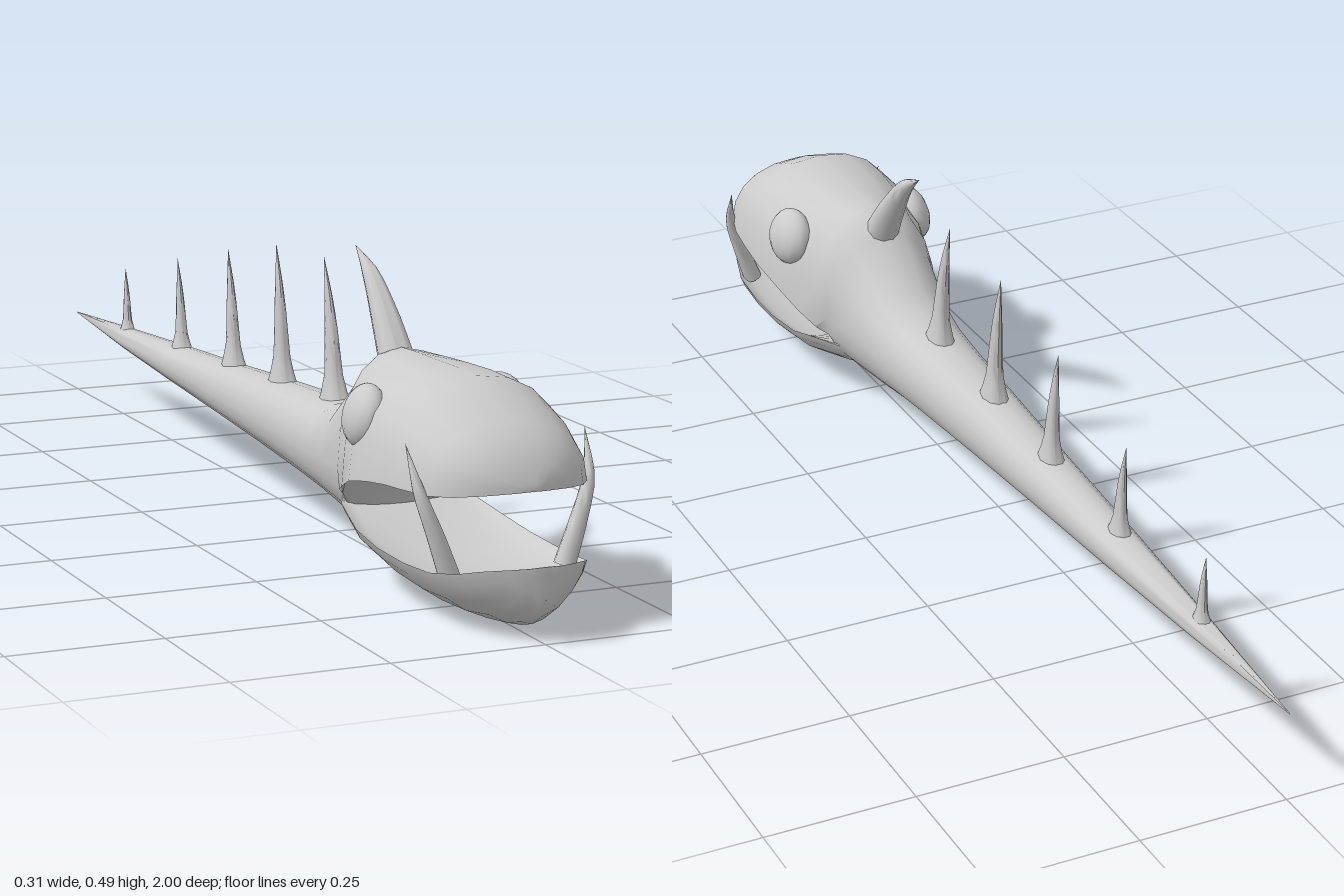
import * as THREE from 'three';
import { toCreasedNormals } from 'three/addons/utils/BufferGeometryUtils.js';

const material = new THREE.MeshStandardMaterial({ color: 0xcccccc, side: THREE.DoubleSide });

function addMesh(group, name, geometry) {
  const mesh = new THREE.Mesh(geometry, material);
  mesh.name = name;
  group.add(mesh);
  return mesh;
}

// Joins rings of points (arrays of Vector3) into a closed skin
function skin(rings, crease) {
  const n = rings[0].length;
  const index = [];
  for (let i = 0; i < rings.length - 1; i++) {
    for (let j = 0; j < n; j++) {
      const a = i * n + j, b = i * n + (j + 1) % n;
      index.push(a, b, a + n, b, b + n, a + n);
    }
  }
  const geometry = new THREE.BufferGeometry().setFromPoints(rings.flat());
  geometry.setIndex(index);
  return toCreasedNormals(geometry, crease);
}

// Sections: [z, top y, y of the widest line, bottom y, half width].
// A bottom above the widest line arches a palate; a top below it hollows a jaw floor.
function loft(sections, upperPower, lowerPower, sides = 20) {
  const rings = sections.map(([z, top, mid, bottom, w]) => {
    const ring = [];
    for (let j = 0; j < sides; j++) {
      const a = (j / sides) * Math.PI * 2;
      const c = Math.cos(a), s = Math.sin(a);
      const p = s >= 0 ? upperPower : lowerPower;
      const x = w * Math.sign(c) * Math.abs(c) ** p;
      const y = mid + (s >= 0 ? top - mid : bottom - mid) * Math.abs(s) ** p;
      ring.push(new THREE.Vector3(x, y, z));
    }
    return ring;
  });
  return skin(rings, 0.9);
}

// Tapered curved spike through points; radii are spread along its length
function spike(points, radii, flatten = 1, sides = 10, steps = 10) {
  const curve = new THREE.CatmullRomCurve3(points.map(p => new THREE.Vector3(...p)));
  const rings = [];
  for (let i = 0; i <= steps; i++) {
    const t = i / steps;
    const center = curve.getPoint(t);
    const dir = curve.getTangent(t);
    const side = new THREE.Vector3(0, 0, 1).cross(dir).normalize();
    const fore = dir.clone().cross(side);
    const f = t * (radii.length - 1), k = Math.min(Math.floor(f), radii.length - 2);
    const r = THREE.MathUtils.lerp(radii[k], radii[k + 1], f - k);
    const ring = [];
    for (let j = 0; j < sides; j++) {
      const a = (j / sides) * Math.PI * 2;
      ring.push(center.clone()
        .addScaledVector(side, Math.cos(a) * r * flatten)
        .addScaledVector(fore, Math.sin(a) * r));
    }
    rings.push(ring);
  }
  return skin(rings, 1.2);
}

export function createModel() {
  const group = new THREE.Group();

  // Tail, body, skull and arched palate
  addMesh(group, 'bodyAndHead', loft([
    [-1.0, 0.153, 0.152, 0.151, 0],
    [-0.72, 0.17, 0.15, 0.13, 0.02],
    [-0.45, 0.185, 0.15, 0.115, 0.036],
    [-0.2, 0.198, 0.15, 0.101, 0.047],
    [0.0, 0.21, 0.15, 0.09, 0.058],
    [0.2, 0.22, 0.15, 0.077, 0.07],
    [0.29, 0.226, 0.15, 0.07, 0.077],
    [0.37, 0.25, 0.155, 0.06, 0.085],
    [0.46, 0.325, 0.16, 0.054, 0.098],
    [0.49, 0.352, 0.165, 0.058, 0.108],
    [0.52, 0.354, 0.14, 0.12, 0.118],
    [0.56, 0.355, 0.155, 0.18, 0.132],
    [0.62, 0.356, 0.178, 0.215, 0.147],
    [0.7, 0.358, 0.195, 0.235, 0.155],
    [0.76, 0.357, 0.203, 0.24, 0.153],
    [0.82, 0.333, 0.206, 0.24, 0.146],
    [0.87, 0.309, 0.207, 0.235, 0.132],
    [0.905, 0.288, 0.21, 0.228, 0.108],
    [0.93, 0.258, 0.214, 0.22, 0.07],
    [0.945, 0.228, 0.217, 0.218, 0.025],
    [0.948, 0.219, 0.218, 0.218, 0],
  ], 0.9, 1));

  // Lower jaw with hollow floor
  addMesh(group, 'lowerJaw', loft([
    [0.4, 0.12, 0.11, 0.09, 0],
    [0.45, 0.125, 0.115, 0.065, 0.08],
    [0.51, 0.108, 0.115, 0.045, 0.11],
    [0.6, 0.072, 0.096, 0.02, 0.126],
    [0.69, 0.06, 0.087, 0.007, 0.13],
    [0.78, 0.056, 0.085, 0.0, 0.129],
    [0.86, 0.064, 0.088, 0.003, 0.124],
    [0.92, 0.08, 0.098, 0.01, 0.108],
    [0.955, 0.096, 0.108, 0.02, 0.087],
    [0.985, 0.112, 0.114, 0.038, 0.05],
    [0.998, 0.117, 0.116, 0.056, 0.022],
    [1.0, 0.117, 0.116, 0.07, 0],
  ], 1, 1.3));

  // Head horn
  addMesh(group, 'headHorn', spike(
    [[0, 0.315, 0.485], [0, 0.39, 0.43], [0, 0.45, 0.375], [0, 0.488, 0.315]],
    [0.031, 0.023, 0.014, 0]));

  // Back spines with flared roots: [base z, base y, tip z, tip y, root radius]
  [
    [0.235, 0.208, 0.19, 0.45, 0.042],
    [0.017, 0.198, -0.01, 0.44, 0.04],
    [-0.2, 0.187, -0.225, 0.398, 0.036],
    [-0.447, 0.175, -0.465, 0.342, 0.031],
    [-0.723, 0.16, -0.732, 0.282, 0.024],
  ].forEach(([z, y, tipZ, tipY, r], i) => {
    const h = tipY - y;
    addMesh(group, `backSpine${i + 1}`, spike(
      [[0, y, z], [0, y + h * 0.35, z + (tipZ - z) * 0.2], [0, y + h * 0.7, z + (tipZ - z) * 0.55], [0, tipY, tipZ]],
      [r, r * 0.56, r * 0.45, r * 0.37, r * 0.26, r * 0.13, 0], 0.6));
  });

  // Eyes and tusks on both sides
  for (const [side, s] of [['left', 1], ['right', -1]]) {
    const eye = addMesh(group, `${side}Eye`, new THREE.SphereGeometry(1, 16, 12));
    eye.scale.set(0.031, 0.05, 0.054);
    eye.position.set(s * 0.12, 0.278, 0.617);
    eye.rotation.set(0, s * 0.12, s * 0.25);
    addMesh(group, `${side}Tusk`, spike(
      [[s * 0.095, 0.08, 0.872], [s * 0.118, 0.145, 0.87], [s * 0.14, 0.21, 0.86], [s * 0.149, 0.28, 0.828]],
      [0.017, 0.014, 0.01, 0]));
  }
  return group;
}
